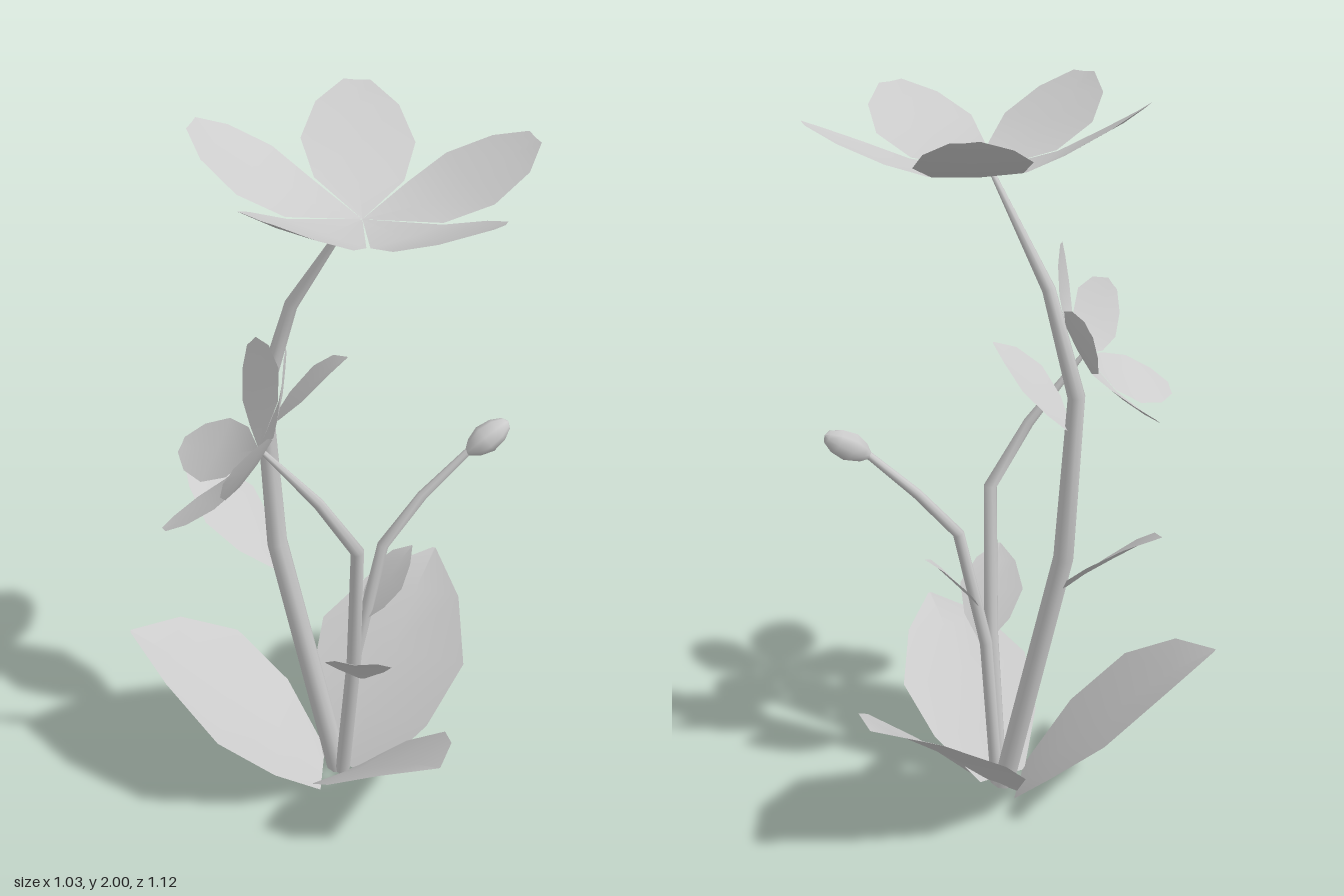
import * as THREE from 'three';

const V = (x, y, z) => new THREE.Vector3(x, y, z);
const UP = V(0, 1, 0);
const material = new THREE.MeshStandardMaterial({ color: 0xcccccc, side: THREE.DoubleSide });

// Smooth surface through rows of points, all rows of equal length
function loft(name, rows) {
  const n = rows[0].length, index = [];
  for (let i = 0; i < rows.length - 1; i++)
    for (let j = 0; j < n - 1; j++) {
      const a = i * n + j, b = a + n;
      index.push(a, b, a + 1, a + 1, b, b + 1);
    }
  const geometry = new THREE.BufferGeometry().setFromPoints(rows.flat());
  geometry.setIndex(index);
  geometry.computeVertexNormals();
  const mesh = new THREE.Mesh(geometry, material);
  mesh.name = name;
  return mesh;
}

// Tapered, kinked stem: each point is [x, y, z, radius]
function stem(name, points, sides = 8) {
  const centres = points.map(p => V(p[0], p[1], p[2]));
  const rows = points.map((p, i) => {
    const before = centres[Math.max(i - 1, 0)], after = centres[Math.min(i + 1, points.length - 1)];
    const tangent = i ? after.clone().sub(before).normalize() : UP;
    const u = tangent.clone().cross(V(0, 0, 1)).normalize();
    const w = u.clone().cross(tangent);
    return Array.from({ length: sides + 1 }, (_, j) => {
      const a = -j / sides * Math.PI * 2;
      return centres[i].clone()
        .addScaledVector(u, Math.cos(a) * p[3])
        .addScaledVector(w, Math.sin(a) * p[3]);
    });
  });
  return loft(name, rows);
}

// Pointed leaf arching from base to tip: [along, rise], with relative half widths per kind
const LEAF_ARCH = [[0, 0], [0.22, 0.26], [0.5, 0.55], [0.78, 0.83], [1, 1]];
const BROAD = [0.36, 0.83, 1, 0.6, 0.02];
const SLIM = [0.08, 0.72, 1, 0.62, 0.03];
function leaf(name, base, tip, halfWidth, widths) {
  const run = V(tip.x - base.x, 0, tip.z - base.z);
  const side = UP.clone().cross(run).normalize();
  return loft(name, LEAF_ARCH.map(([along, rise], i) => [-1, 0, 1].map(s => {
    const w = widths[i] * halfWidth;
    const p = base.clone().addScaledVector(run, along).addScaledVector(side, s * w);
    p.y += (tip.y - base.y) * rise + (i ? Math.abs(s) * w * 0.15 : 0);
    return p;
  })));
}

// Five-petalled open flower: [radius, half width, height]
const PETAL = [[0, 0, 0], [0.165, 0.114, 0.022], [0.28, 0.147, 0.073], [0.385, 0.108, 0.13], [0.447, 0.035, 0.172]];
function flower(name, centre, normal, firstPetal, scale) {
  const group = new THREE.Group();
  group.name = name;
  for (let k = 0; k < 5; k++) {
    const petal = loft('petal', PETAL.map(([r, w, h]) =>
      [-1, 0, 1].map(s => V(r, h + Math.abs(s) * w * 0.05, s * -w))));
    petal.rotation.y = k * Math.PI * 2 / 5;
    group.add(petal);
  }
  const y = normal.clone().normalize();
  const z = firstPetal.clone().cross(y).normalize();
  const x = y.clone().cross(z);
  group.quaternion.setFromRotationMatrix(new THREE.Matrix4().makeBasis(x, y, z));
  group.position.copy(centre);
  group.scale.setScalar(scale);
  return group;
}

// Closed bud pointing along a direction
function bud(base, tip) {
  const along = tip.clone().sub(base), length = along.length();
  const profile = [[0.008, -0.1], [0.028, 0.1], [0.04, 0.38], [0.034, 0.7], [0.018, 0.93], [0, 1]]
    .map(([r, t]) => new THREE.Vector2(r, t * length));
  const mesh = new THREE.Mesh(new THREE.LatheGeometry(profile, 8), material);
  mesh.name = 'bud';
  mesh.position.copy(base);
  mesh.quaternion.setFromUnitVectors(UP, along.normalize());
  return mesh;
}

export function createModel() {
  const model = new THREE.Group();
  model.name = 'floweringPlant';

  model.add(
    // Stems
    stem('mainStem', [[0.03, 0, -0.01, 0.032], [-0.15, 0.77, 0, 0.029], [-0.18, 1.24, 0.005, 0.024],
      [-0.1, 1.52, 0, 0.018], [0.065, 1.8, 0.005, 0.007]]),
    stem('sideStem', [[0.05, 0, 0, 0.022], [0.1, 0.45, 0.045, 0.021], [0.13, 0.88, 0.1, 0.019],
      [0.05, 1.06, 0.175, 0.015], [-0.064, 1.243, 0.264, 0.007]]),
    stem('budStem', [[0.05, 0, -0.015, 0.018], [0.085, 0.45, -0.01, 0.018], [0.14, 0.8, -0.06, 0.016],
      [0.22, 0.935, -0.14, 0.014], [0.33, 1.07, -0.225, 0.01]]),

    // Flowers and bud
    flower('topFlower', V(0.097, 1.8, 0.012), V(0.07, 1, 0), V(0.88, 0, 0.47), 0.985),
    flower('sideFlower', V(-0.07, 1.25, 0.27), V(-0.76, 0.565, 0.33), V(0.164, 0.24, -0.03), 0.645),
    bud(V(0.325, 1.06, -0.22), V(0.402, 1.127, -0.297)),

    // Broad leaves at the base
    leaf('rightBaseLeaf', V(-0.005, 0, 0.02), V(-0.52, 0.485, 0.2), 0.255, BROAD),
    leaf('leftBaseLeaf', V(0.05, 0, 0.02), V(0.445, 0.38, 0.28), 0.2, BROAD),
    leaf('backBaseLeaf', V(0.06, 0, -0.02), V(0.115, 0.455, -0.56), 0.235, BROAD),

    // Small leaves on the stems
    leaf('lowerStemLeaf', V(-0.155, 0.68, 0), V(-0.46, 0.93, -0.06), 0.11, SLIM),
    leaf('upperStemLeaf', V(-0.17, 1.14, 0), V(0.035, 1.37, -0.05), 0.097, SLIM),
    leaf('frontStemLeaf', V(0.125, 0.405, 0.045), V(0.185, 0.625, 0.25), 0.092, SLIM),
    leaf('backStemLeaf', V(0.1, 0.56, -0.02), V(0.19, 0.75, -0.155), 0.068, SLIM),
  );
  return model;
}
